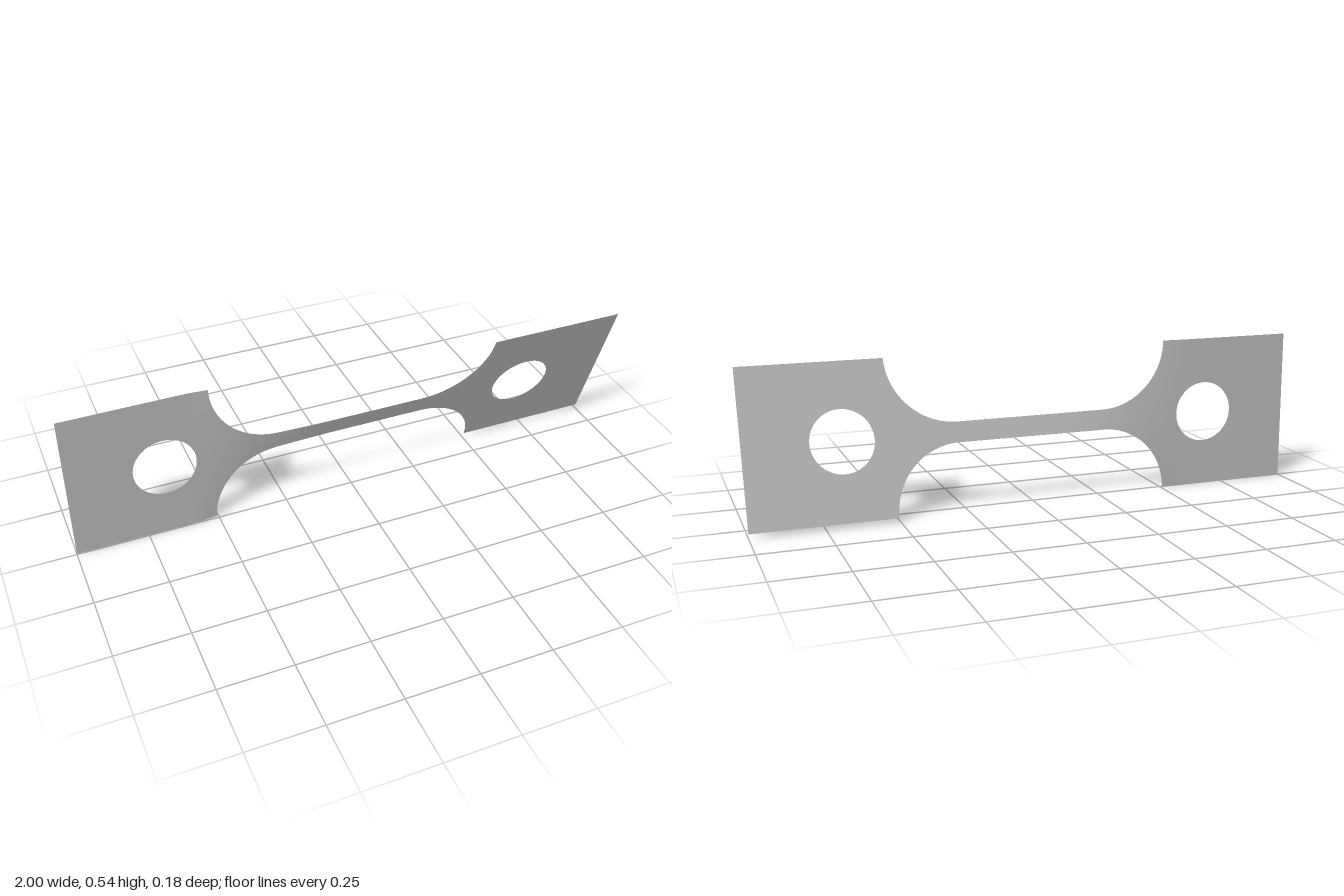
import * as THREE from 'three';

const HALF = 0.2715;      // half height of the end plates
const NECK = 0.036;       // half height of the slim bar
const INNER = 0.505;      // where the plates begin
const RADIUS = HALF - NECK;
const HOLE_X = 0.67, HOLE_R = 0.109;

// Twist about the long axis: almost flat on the left, 20 degrees on the right
const START = -0.6, SPAN = 0.56;
function twist(x) {
  const t = THREE.MathUtils.clamp((x - START) / SPAN, 0, 1);
  const low = 0.01, turn = 0.335;
  return { angle: low + turn * t * t * (3 - 2 * t), rate: turn * 6 * t * (1 - t) / SPAN };
}

// Grid of flat (x, v) points, rolled along the twist
function twistedSheet(columns) {
  const position = [], normal = [], index = [];
  const rows = columns[0].length;
  columns.forEach((column, i) => column.forEach(([x, v], j) => {
    const { angle, rate } = twist(x);
    const s = Math.sin(angle), c = Math.cos(angle);
    const n = new THREE.Vector3(-v * rate, -s, c).normalize();
    position.push(x, HALF + v * c, v * s);
    normal.push(n.x, n.y, n.z);
    if (i && j) {
      const a = (i - 1) * rows + j - 1, b = i * rows + j - 1;
      index.push(a, b, b + 1, a, b + 1, a + 1);
    }
  }));
  const g = new THREE.BufferGeometry();
  g.setAttribute('position', new THREE.Float32BufferAttribute(position, 3));
  g.setAttribute('normal', new THREE.Float32BufferAttribute(normal, 3));
  g.setIndex(index);
  return g;
}

// Rectangular plate with a round hole, as rings from the hole to the rim
function plateGeometry(side) {
  const cx = side * HOLE_X;
  const xMin = (side > 0 ? INNER : -1) - cx, xMax = (side > 0 ? 1 : -INNER) - cx;
  const angles = [];
  for (let i = 0; i < 64; i++) angles.push(i / 64 * Math.PI * 2 - Math.PI);
  for (const x of [xMin, xMax]) for (const y of [-HALF, HALF]) angles.push(Math.atan2(y, x));
  angles.sort((a, b) => a - b);
  angles.push(angles[0] + Math.PI * 2);

  const rings = [];
  for (let k = 0; k <= 8; k++) {
    rings.push(angles.map((a) => {
      const dx = Math.cos(a), dy = Math.sin(a);
      const rim = Math.min((dx > 0 ? xMax : xMin) / (dx || 1e-9), HALF / Math.max(Math.abs(dy), 1e-9));
      const r = THREE.MathUtils.lerp(HOLE_R, rim, k / 8);
      return [cx + dx * r, dy * r];
    }));
  }
  return twistedSheet(rings);
}

// Slim bar that flares into both plates along quarter circles
function neckGeometry() {
  const profile = [];
  const arcX = INNER - RADIUS;
  for (let i = 0; i <= 24; i++) {
    const a = i / 24 * Math.PI / 2;
    profile.push([arcX + RADIUS * Math.cos(a), HALF - RADIUS * Math.sin(a)]);
  }
  const stations = profile.map(([x, h]) => [-x, h]);
  for (let i = 1; i < 32; i++) stations.push([THREE.MathUtils.lerp(-arcX, arcX, i / 32), NECK]);
  stations.push(...profile.reverse());
  return twistedSheet(stations.map(([x, h]) =>
    Array.from({ length: 13 }, (_, j) => [x, h * (j / 6 - 1)])));
}

export function createModel() {
  const group = new THREE.Group();
  group.name = 'twistedTestStrip';
  const grey = new THREE.MeshStandardMaterial({ color: 0xb4b4b4, side: THREE.DoubleSide });
  grey.name = 'plain grey';

  const add = (name, geometry) => {
    const mesh = new THREE.Mesh(geometry, grey);
    mesh.name = name;
    group.add(mesh);
  };
  add('leftEndPlate', plateGeometry(1));
  add('rightEndPlate', plateGeometry(-1));
  add('twistedNeck', neckGeometry());
  return group;
}
